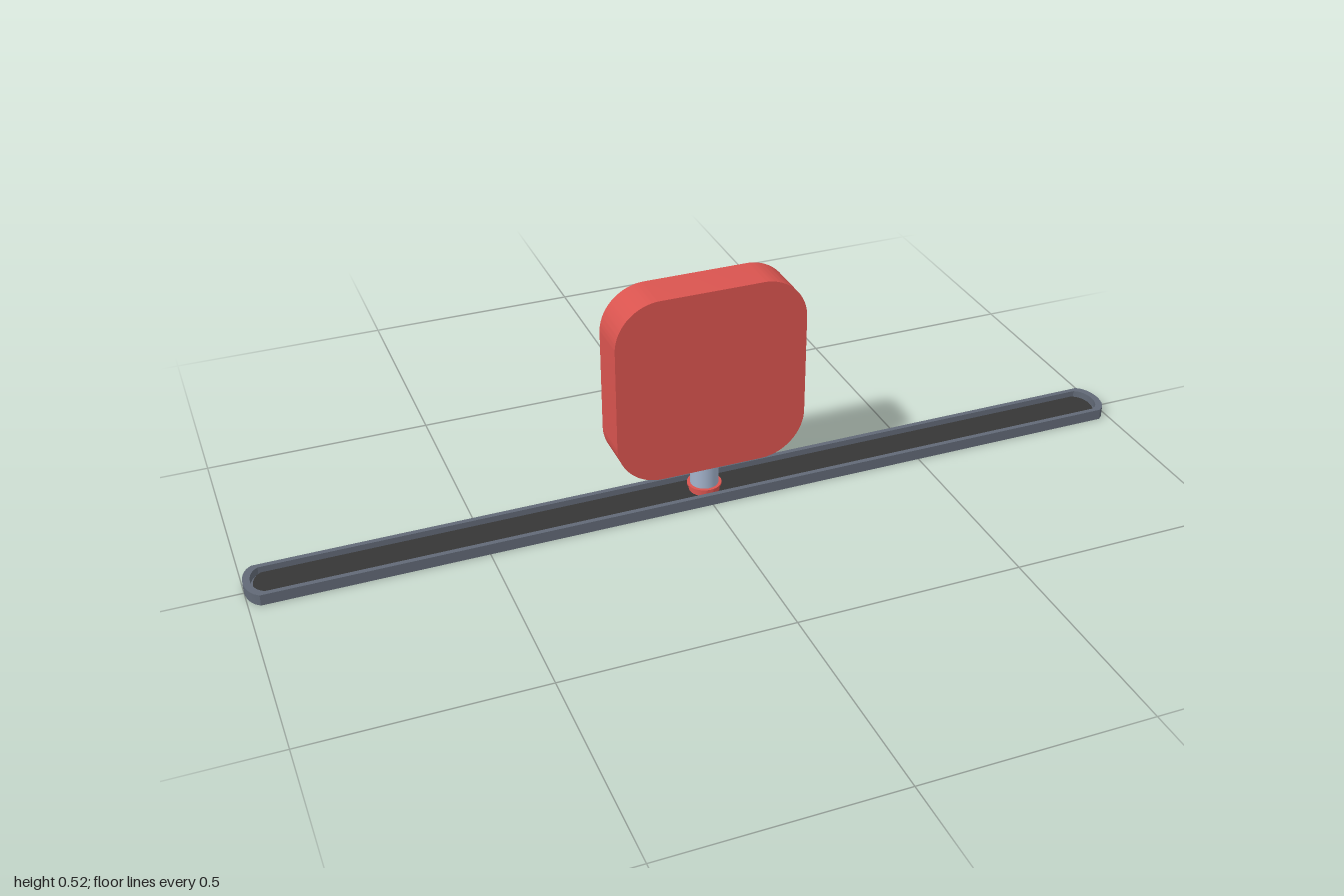
import * as THREE from 'three';
import { toCreasedNormals } from 'three/addons/utils/BufferGeometryUtils.js';

const material = (name, color) => {
  const m = new THREE.MeshStandardMaterial({ color });
  m.name = name;
  return m;
};

// Rectangle with circular corners, centred on the origin
function roundedSquare(half, r) {
  const s = new THREE.Shape();
  const c = half - r;
  for (let i = 0; i < 4; i++) {
    const a = i * Math.PI / 2;
    s.absarc(c * (i === 0 || i === 3 ? 1 : -1), c * (i < 2 ? 1 : -1), r, a, a + Math.PI / 2, false);
  }
  return s;
}

// Long strip whose two ends bulge outwards
function strip(halfX, halfZ, bulge) {
  const points = [];
  const n = 12;
  for (const side of [1, -1]) {
    for (let i = 0; i <= n; i++) {
      const t = -1 + 2 * i / n;
      const x = halfX - bulge * (1 - Math.sqrt(1 - 0.9 * t * t)) / (1 - Math.sqrt(0.1));
      points.push(new THREE.Vector2(side * x, side * t * halfZ));
    }
  }
  return points;
}

function circleHole(r) {
  return new THREE.Path().absarc(0, 0, r, 0, Math.PI * 2, true);
}

export function createModel() {
  const red = material('red', 0xd9544f);
  const slate = material('slate', 0x616976);
  const charcoal = material('charcoal', 0x363636);
  const steel = material('steel', 0xa3b3cc);
  const model = new THREE.Group();

  const add = (name, geometry, mat, y = 0) => {
    const mesh = new THREE.Mesh(geometry, mat);
    mesh.name = name;
    mesh.position.y = y;
    model.add(mesh);
    return mesh;
  };
  const extrude = (shape, depth) => toCreasedNormals(
    new THREE.ExtrudeGeometry(shape, { depth, bevelEnabled: false, curveSegments: 20 }), 0.5);
  // Flat layer of the tray, lying in the xz plane and rising from y
  const layer = (name, outline, hole, y, height, mat) => {
    const shape = new THREE.Shape(outline);
    shape.holes.push(hole);
    add(name, extrude(shape, height).rotateX(-Math.PI / 2), mat, y);
  };

  // Shallow tray: floor, raised rim and dark inlay
  const bore = 0.034;
  const outer = strip(1, 0.054, 0.025);
  const inner = strip(0.985, 0.043, 0.022);
  layer('trayFloor', outer, circleHole(bore), 0, 0.008, slate);
  layer('trayRim', outer, new THREE.Path(inner), 0.008, 0.017, slate);
  layer('trayInlay', strip(0.98, 0.042, 0.022), circleHole(bore), 0.008, 0.004, charcoal);

  // Bushing through the tray
  const profile = [[0.031, 0.003], [bore, 0.003], [bore, 0.025], [0.038, 0.025], [0.038, 0.029], [0.031, 0.029], [0.031, 0.003]]
    .map(([x, y]) => new THREE.Vector2(x, y));
  add('bushing', toCreasedNormals(new THREE.LatheGeometry(profile, 40), 0.5), red);

  // Post
  add('post', new THREE.CylinderGeometry(0.031, 0.031, 0.085, 40), steel, 0.0525);

  // Rounded square panel
  const panel = extrude(roundedSquare(0.2135, 0.1), 0.095).translate(0, 0, -0.0475);
  add('panel', panel, red, 0.3035);

  return model;
}
